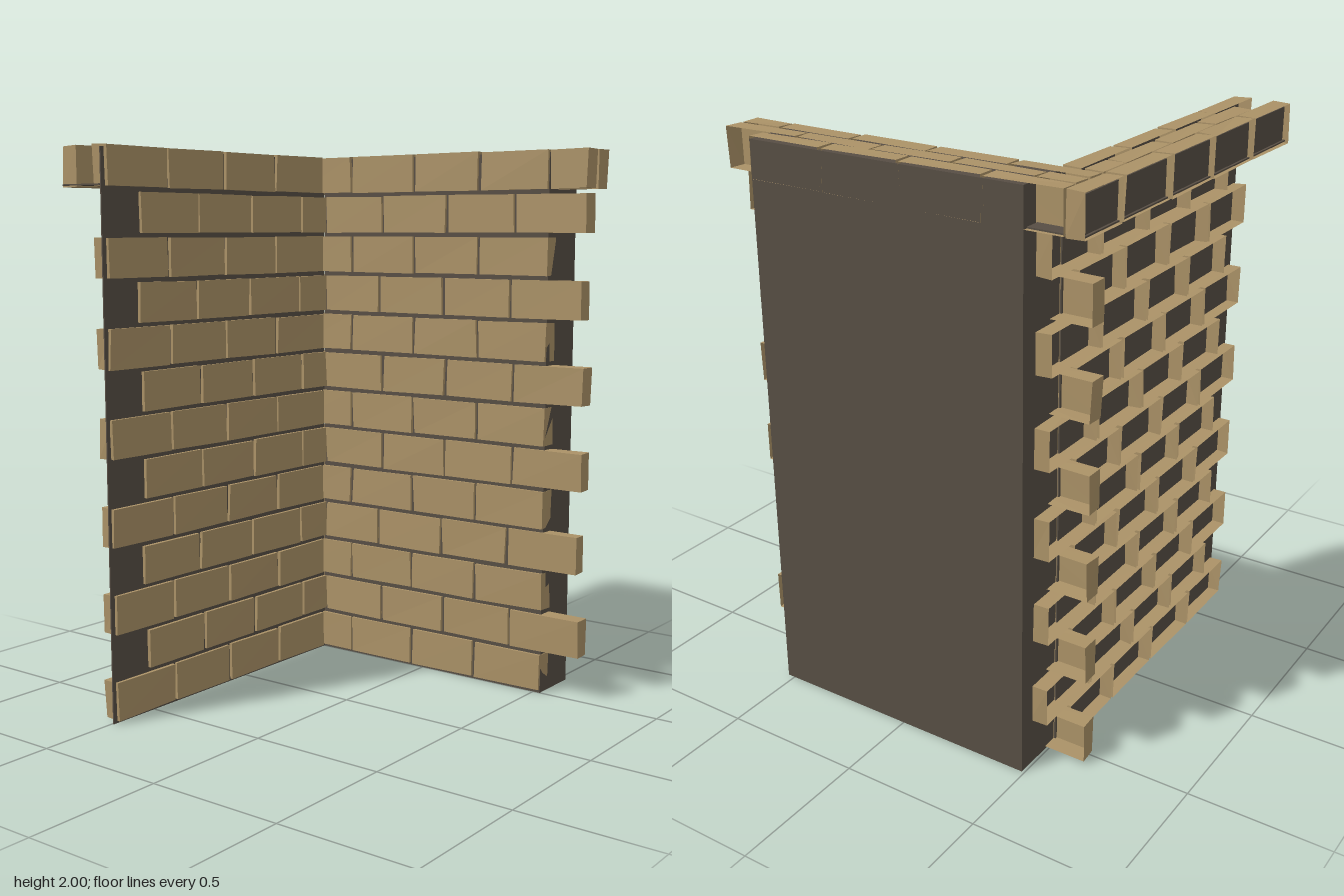
import * as THREE from 'three';

const brickMaterial = new THREE.MeshStandardMaterial({ color: 0xab9267, flatShading: true, side: THREE.DoubleSide });
const mortarMaterial = new THREE.MeshStandardMaterial({ color: 0x574e44, flatShading: true, side: THREE.DoubleSide });

const ROWS = 13, PITCH = 0.1542, HEIGHT = 0.142, DEPTH = 0.065, GAP = 0.013;
const rowY = (i) => 0.079 + i * PITCH;

// Small seeded generator for the hand-cut unevenness
let seed = 7;
function jitter(amount) {
  seed = (seed * 16807) % 2147483647;
  return (seed / 2147483647 - 0.5) * 2 * amount;
}

// Slightly uneven brick, open at the back (-z)
function brickGeometry(length) {
  const geometry = new THREE.BoxGeometry(length, HEIGHT, DEPTH);
  geometry.setIndex(Array.from(geometry.index.array).slice(0, 30));
  const offsets = Array.from({ length: 8 }, () => [jitter(0.004), -Math.abs(jitter(0.004)), jitter(0.002)]);
  const p = geometry.attributes.position;
  for (let i = 0; i < p.count; i++) {
    const corner = (p.getX(i) > 0 ? 1 : 0) + (p.getY(i) > 0 ? 2 : 0) + (p.getZ(i) > 0 ? 4 : 0);
    const [dx, dy, dz] = offsets[corner];
    p.setXYZ(i, p.getX(i) + dx, p.getY(i) + Math.sign(p.getY(i)) * dy, p.getZ(i) + dz);
  }
  geometry.computeVertexNormals();
  return geometry;
}

// One course of bricks between successive joints; face is the outer plane.
// Back courses run along x and face +z, side courses run along z and face +x.
function addCourse(group, name, joints, y, face, alongZ) {
  for (let i = 0; i + 1 < joints.length; i++) {
    const length = Math.abs(joints[i + 1] - joints[i]) - GAP;
    const middle = (joints[i] + joints[i + 1]) / 2;
    const brick = new THREE.Mesh(brickGeometry(length), brickMaterial);
    brick.name = name;
    if (alongZ) {
      brick.rotation.y = Math.PI / 2;
      brick.position.set(face - DEPTH / 2, y, middle);
    } else {
      brick.position.set(middle, y, face - DEPTH / 2);
    }
    group.add(brick);
  }
}

function addMortar(group, name, x0, x1, y0, y1, z0, z1) {
  const mesh = new THREE.Mesh(new THREE.BoxGeometry(x1 - x0, y1 - y0, z1 - z0), mortarMaterial);
  mesh.name = name;
  mesh.position.set((x0 + x1) / 2, (y0 + y1) / 2, (z0 + z1) / 2);
  group.add(mesh);
}

export function createModel() {
  const model = new THREE.Group();
  model.name = 'brickCornerWall';
  const backWall = new THREE.Group();
  backWall.name = 'backWall';
  const sideWall = new THREE.Group();
  sideWall.name = 'sideWall';
  const topCourse = new THREE.Group();
  topCourse.name = 'topCourse';
  model.add(backWall, sideWall, topCourse);

  // Mortar: thick slab behind the back wall, thin sheet in the side wall
  addMortar(backWall, 'backMortar', -0.49, 0.528, 0, 1.99, -0.7, -0.5);
  addMortar(sideWall, 'sideMortar', -0.497, -0.492, 0, 1.99, -0.5, 0.7);

  // Interlocking courses; two of the odd courses sit a little further along
  for (let row = 0; row < ROWS - 1; row++) {
    const y = rowY(row);
    const shift = row % 6 === 3 ? 0.015 : 0;
    const backJoints = row % 2
      ? [-0.48, -0.195 - shift, 0.1 - shift, 0.395 - shift, 0.69 - shift]
      : [-0.645, -0.345, -0.05, 0.24, 0.535];
    const sideJoints = row % 2
      ? [0.535 + shift, 0.24 + shift, -0.05 + shift, -0.345 + shift, -0.64]
      : [0.692, 0.395, 0.1, -0.19, -0.485];
    addCourse(backWall, 'backBrick', backJoints, y, -0.49, false);
    addCourse(sideWall, 'sideBrick', sideJoints, y, -0.48, true);
  }

  // Top course, three bricks deep on both walls
  const y = rowY(ROWS - 1);
  addCourse(topCourse, 'backTopBrick', [-0.625, -0.345, -0.05, 0.24, 0.53, 0.69], y, -0.49, false);
  addCourse(topCourse, 'backTopBrick', [-0.625, -0.485, -0.195, 0.105, 0.4, 0.696], y, -0.565, false);
  addCourse(topCourse, 'backTopBrick', [-0.625, -0.35, -0.05, 0.245, 0.535], y, -0.635, false);
  addCourse(topCourse, 'sideTopBrick', [0.692, 0.395, 0.1, -0.19, -0.485], y, -0.48, true);
  addCourse(topCourse, 'sideTopBrick', [0.53, 0.235, -0.065, -0.35, -0.485], y, -0.555, true);
  addCourse(topCourse, 'sideTopBrick', [0.692, 0.395, 0.1, -0.19, -0.485, -0.705], y, -0.625, true);

  // Mortar bed and outer sheet of the top course on the side wall
  addMortar(topCourse, 'topMortarBed', -0.68, -0.495, 1.864, 1.869, -0.69, 0.7);
  addMortar(topCourse, 'topMortarSheet', -0.672, -0.667, 1.867, 1.985, -0.69, 0.68);

  return model;
}
